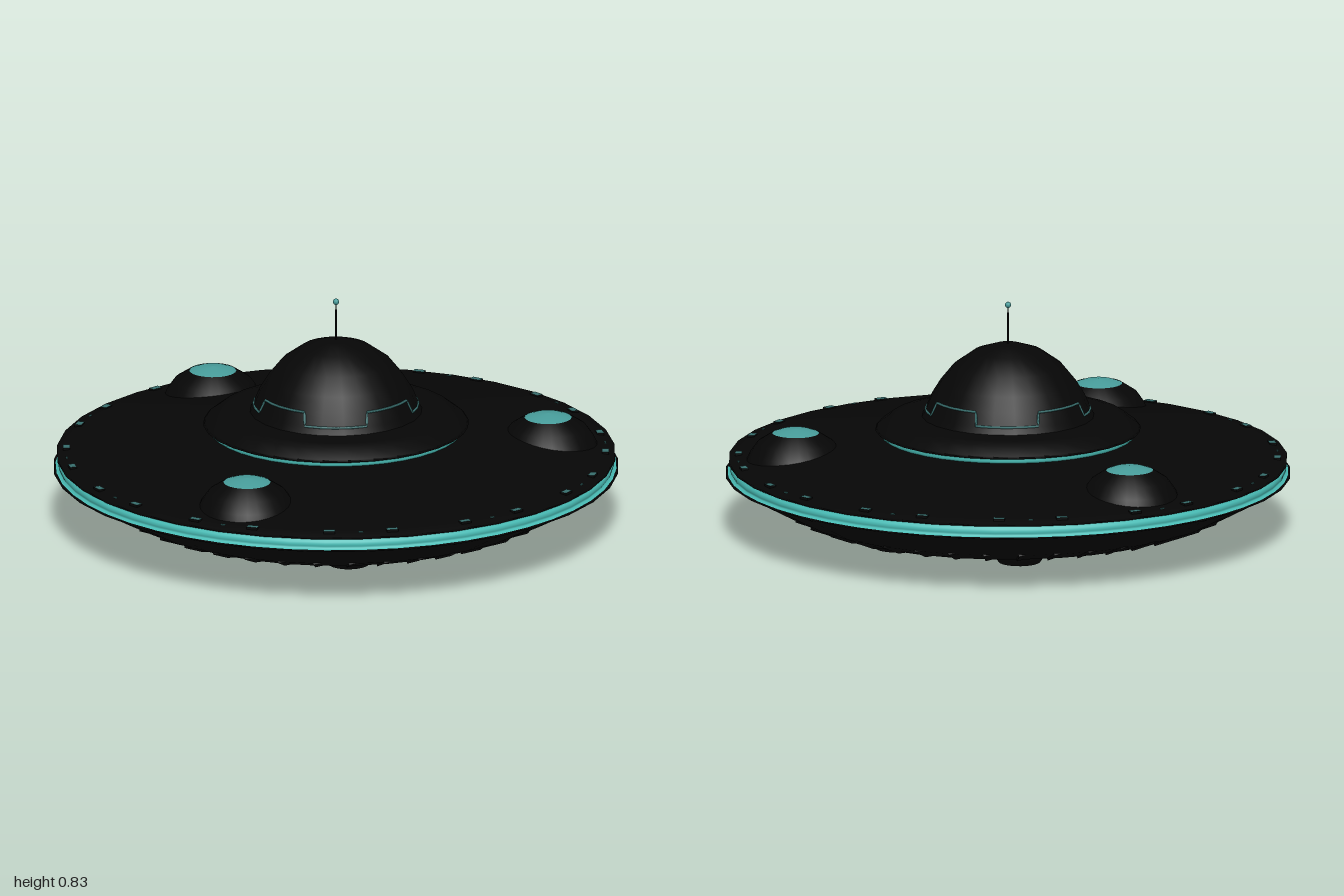
import * as THREE from 'three';

const flat = (color, name, side = THREE.FrontSide) => {
  const m = new THREE.MeshStandardMaterial({ color, side });
  m.name = name;
  return m;
};

export function createModel() {
  const ship = new THREE.Group();
  ship.name = 'flyingSaucer';
  const black = flat(0x060606, 'black hull', THREE.DoubleSide);
  const teal = flat(0x479c9a, 'teal lamp');
  const bright = flat(0x4abfb8, 'bright teal glow');
  const dim = flat(0x386e6d, 'dim teal trim');

  const add = (name, geometry, material, parent = ship) => {
    const mesh = new THREE.Mesh(geometry, material);
    mesh.name = name;
    parent.add(mesh);
    return mesh;
  };
  // Revolved profile, listed from the bottom up
  const lathe = (points, segments) =>
    new THREE.LatheGeometry(points.map(([r, y]) => new THREE.Vector2(r, y)), segments);
  // Group pushed out from the centre, angle measured from +z towards +x
  const spoke = (name, angle, radius, y = 0) => {
    const arm = new THREE.Group();
    arm.name = name;
    arm.rotation.y = angle;
    arm.position.set(Math.sin(angle) * radius, y, Math.cos(angle) * radius);
    ship.add(arm);
    return arm;
  };

  // Saucer body with a recess in the belly
  add('lowerHull', lathe([[0.095, 0.085], [0.095, 0.032], [0.47, 0.035], [0.7, 0.064], [0.79, 0.1],
    [0.87, 0.143], [0.96, 0.193], [0.997, 0.209], [0.99, 0.213], [0.94, 0.213]], 36), black);
  add('bellyLight', lathe([[0, 0.08], [0.095, 0.08]], 24), teal);
  add('rimGlow', lathe([[0.988, 0.2135], [0.976, 0.217], [0.979, 0.225], [0.98, 0.232],
    [0.978, 0.24], [0.97, 0.25]], 48), bright);
  add('upperHull', lathe([[0.93, 0.25], [0.985, 0.252], [0.985, 0.262], [0.94, 0.27], [0.4, 0.358]], 36), black);

  // Raised collar and its glowing underside
  add('collarGlow', lathe([[0.43, 0.348], [0.447, 0.35], [0.453, 0.358], [0.45, 0.371]], 40), bright);
  add('collar', lathe([[0.4, 0.369], [0.468, 0.37], [0.46, 0.378], [0.42, 0.408], [0.385, 0.416], [0.28, 0.418]], 32), black);

  // Cockpit dome
  add('dome', lathe([[0.305, 0.415], [0.292, 0.44], [0.271, 0.49], [0.24, 0.54], [0.193, 0.598],
    [0.12, 0.65], [0.045, 0.675], [0, 0.678]], 24), black);

  // Stepped light line around the dome: four low and four high runs
  const line = [];
  for (let k = 0; k < 4; k++) {
    const start = k * Math.PI / 2 - 0.48;
    for (const [y, r, from, to] of [[0.442, 0.29, 0, 0.77], [0.488, 0.272, 0.8, 1.54]]) {
      for (let i = 0; i <= 4; i++) {
        const a = start + from + (to - from) * i / 4;
        line.push(new THREE.Vector3(Math.sin(a) * r, y, Math.cos(a) * r));
      }
    }
  }
  const path = new THREE.CatmullRomCurve3(line, true, 'catmullrom', 0);
  add('domeLightLine', new THREE.TubeGeometry(path, 160, 0.0045, 6, true), dim);

  // Antenna
  add('antenna', new THREE.CylinderGeometry(0.0025, 0.0035, 0.14, 8), black).position.y = 0.74;
  add('antennaTip', new THREE.SphereGeometry(0.011, 12, 8), teal).position.y = 0.817;

  // Three blisters on the upper hull
  const blister = lathe([[0.178, 0.262], [0.162, 0.297], [0.135, 0.335], [0.083, 0.369]], 28);
  const blisterCap = lathe([[0.083, 0.368], [0.055, 0.378], [0, 0.384]], 28);
  for (let k = 0; k < 3; k++) {
    const arm = spoke('blister', Math.PI / 2 + k * Math.PI * 2 / 3, 0.75);
    add('blisterShell', blister, black, arm);
    add('blisterLight', blisterCap, teal, arm);
  }

  // Paired rim lamps, lit on their top face only, with small studs between pairs
  const rimLamp = new THREE.BoxGeometry(0.04, 0.016, 0.024);
  const lampFaces = [black, black, dim, black, black, black];
  const stud = new THREE.BoxGeometry(0.016, 0.008, 0.006);
  for (let k = 0; k < 12; k++) {
    const a = k * Math.PI / 6;
    for (const side of [-1, 1]) add('rimLamp', rimLamp, lampFaces, spoke('rimLampMount', a + side * 0.117, 0.949, 0.267));
    add('rimStud', stud, dim, spoke('rimStudMount', a, 0.952, 0.267));
  }

  // Six thrusters under the hull
  const ring = lathe([[0.06, 0.008], [0.066, 0.002], [0.074, 0.004], [0.09, 0.028], [0.094, 0.045]], 20);
  const lens = lathe([[0, 0], [0.04, 0.002], [0.065, 0.007]], 16);
  for (let k = 0; k < 6; k++) {
    const arm = spoke('thruster', k * Math.PI / 3, 0.48);
    add('thrusterRing', ring, black, arm);
    add('thrusterLight', lens, teal, arm);
  }

  // Slanted vanes around the belly
  const vane = new THREE.BoxGeometry(0.06, 0.012, 0.11);
  for (let k = 0; k < 40; k++) {
    const arm = spoke('vaneMount', k * Math.PI / 20, 0.745, 0.09);
    add('bellyVane', vane, black, arm).rotation.set(-0.38, 0, 0.25);
  }
  return ship;
}
